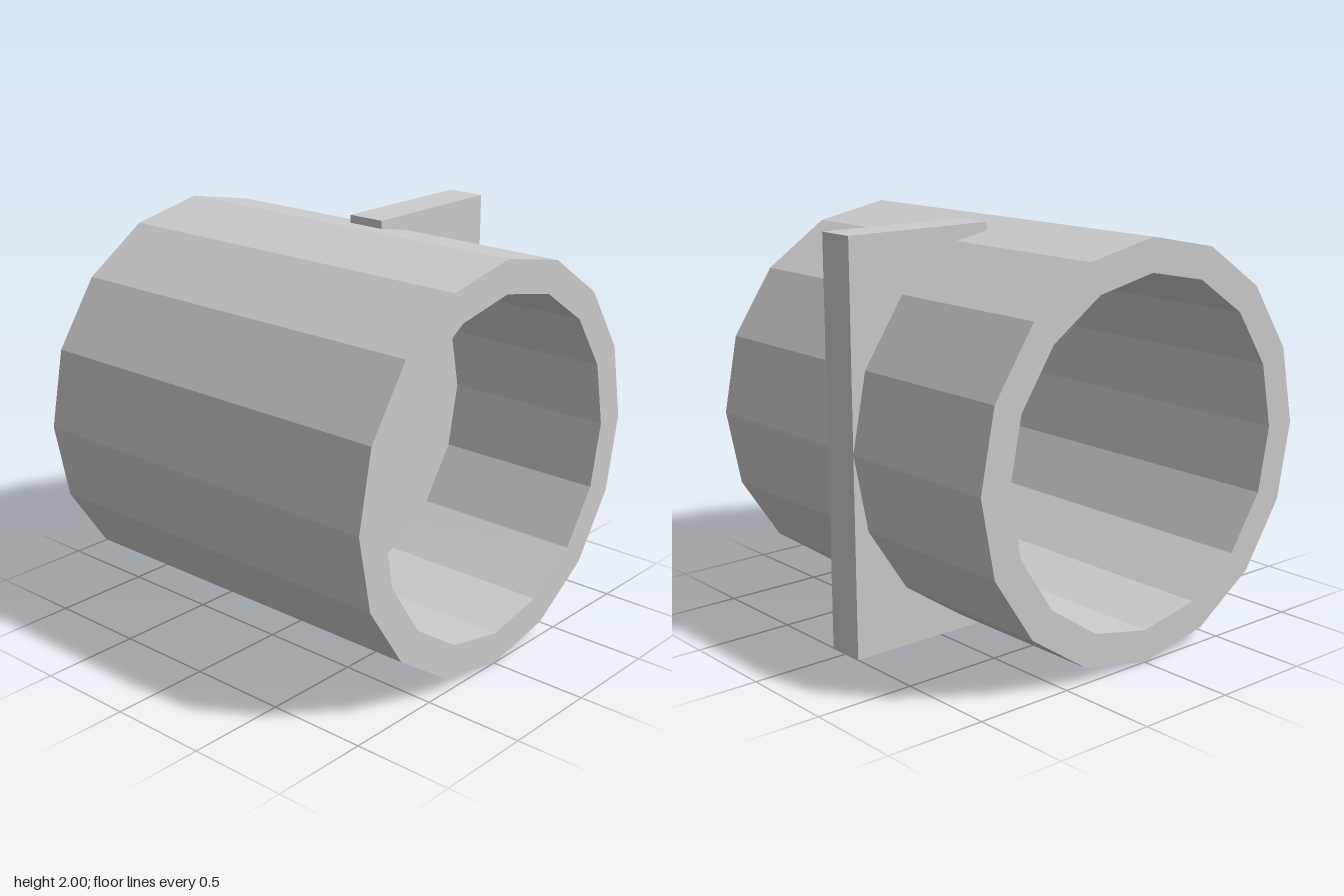
import * as THREE from 'three';

const SIDES = 16;

// Corner points of a regular polygon with a corner on the x axis
function ring(radius) {
  return Array.from({ length: SIDES }, (_, i) => {
    const a = (i / SIDES) * Math.PI * 2;
    return new THREE.Vector2(Math.cos(a) * radius, Math.sin(a) * radius);
  });
}

export function createModel() {
  const group = new THREE.Group();
  group.name = 'tubeWithPlate';
  const material = new THREE.MeshStandardMaterial({ color: 0xcccccc, flatShading: true });

  // Hollow faceted tube along z, open at both ends
  const profile = new THREE.Shape(ring(1));
  profile.holes.push(new THREE.Path(ring(0.84)));
  const tubeGeometry = new THREE.ExtrudeGeometry(profile, { depth: 2, bevelEnabled: false });
  tubeGeometry.translate(0, 1, -1);
  const tube = new THREE.Mesh(tubeGeometry, material);
  tube.name = 'tube';
  group.add(tube);

  // Upright plate crossing the tube wall on the +x side
  const plate = new THREE.Mesh(new THREE.BoxGeometry(0.8, 2, 0.2), material);
  plate.name = 'plate';
  plate.position.set(0.6, 1, 0);
  group.add(plate);

  return group;
}
